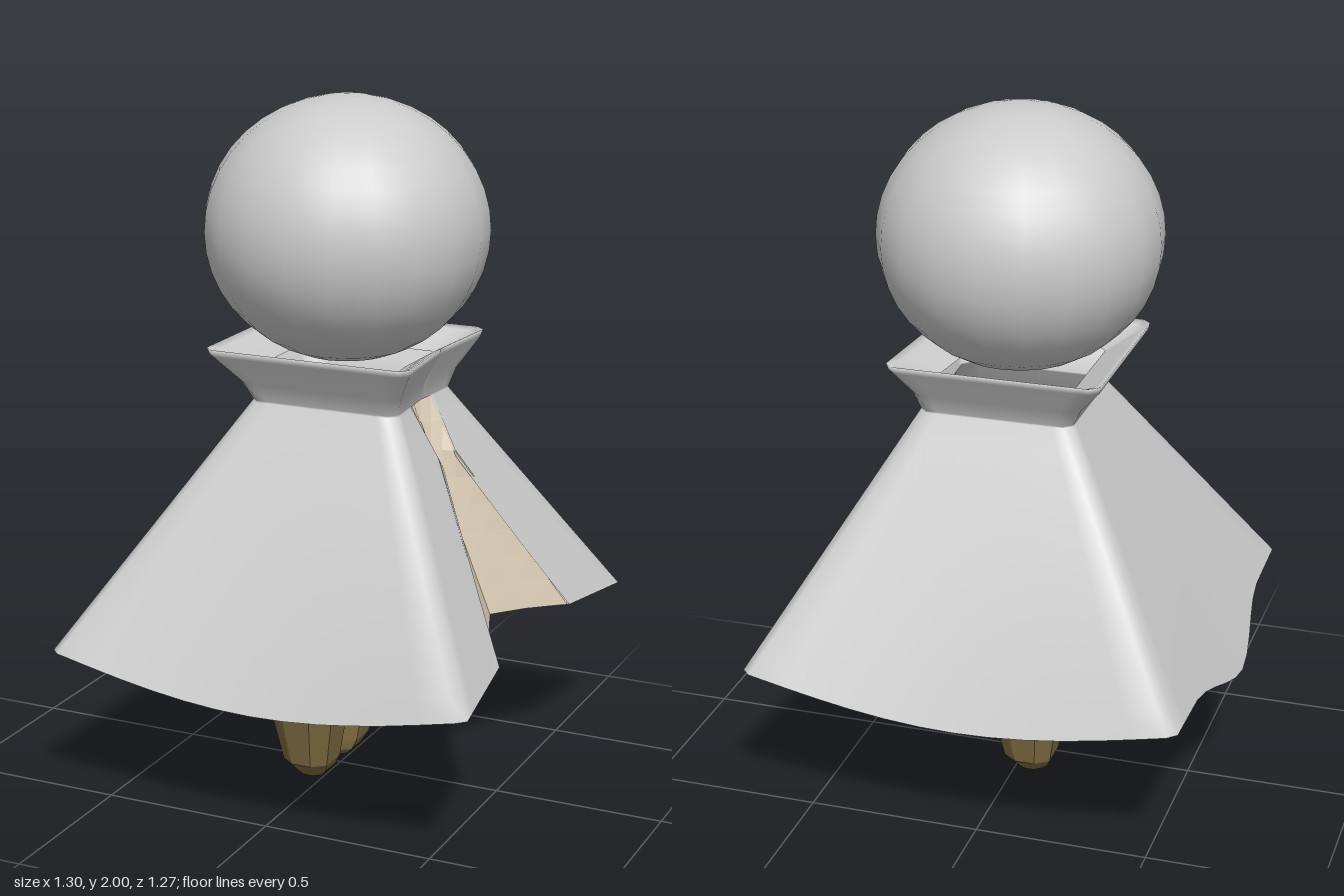
import * as THREE from 'three';

const lerp = THREE.MathUtils.lerp;

// Skin a list of equal-length rows of [x, y, z] points
function loft(rows) {
  const n = rows[0].length, index = [];
  for (let r = 0; r < rows.length - 1; r++) {
    for (let i = 0; i < n - 1; i++) {
      const a = r * n + i, b = a + 1, c = a + n, d = c + 1;
      index.push(a, b, c, b, d, c);
    }
  }
  const g = new THREE.BufferGeometry();
  g.setAttribute('position', new THREE.Float32BufferAttribute(rows.flat(2), 3));
  g.setIndex(index);
  g.computeVertexNormals();
  return g;
}

function part(name, geometry, color = 0xcccccc, flatShading = false) {
  const material = new THREE.MeshStandardMaterial({ color, flatShading, side: THREE.DoubleSide });
  const mesh = new THREE.Mesh(geometry, material);
  mesh.name = name;
  return mesh;
}

// Square cape outline: from the left front edge round the back to the right one.
// x0 back, x1 front, h half width, xf and w front opening edge, t = 0 neck .. 1 hem
function capeRow({ y, x0, x1, h, xf, w, t = 0 }) {
  const b = 0.025, half = [];
  const side = (ax, az, bx, bz, n, drop) => {
    for (let i = 0; i <= n; i++) {
      const u = i / n, [dx, dy] = drop(u);
      half.push([lerp(ax, bx, u) + dx * t * t, y + dy * t * t, lerp(az, bz, u)]);
    }
  };
  // front flap, side with a sagging hem, then the bulging back
  side(xf, w, x1, h - b, 6, (u) => [0, 0.03 * (1 - u)]);
  side(x1 - b, h, x0 + b, h, 12, (u) => [0, -0.085 * Math.sin(Math.PI * u)]);
  side(x0, h - b, x0, 0, 8, (u) => {
    const s = THREE.MathUtils.smoothstep(u, 0.35, 1);
    return [-0.045 * s, -0.03 * u - 0.075 * s];
  });
  const mirrored = half.slice(0, -1).reverse().map(([x, yy, z]) => [x, yy, -z]);
  return [...half, ...mirrored];
}

// Half width of the front opening down the cape
function opening(t) {
  if (t < 0.25) return lerp(0.07, 0.05, t / 0.25);
  return lerp(0.05, 0.28, (t - 0.25) / 0.75);
}
const edgeX = (t) => lerp(0.25, 0.61, t);

export function createModel() {
  const model = new THREE.Group();

  // Head
  const head = part('head', new THREE.SphereGeometry(1, 20, 20));
  head.scale.set(0.405, 0.375, 0.405);
  head.position.set(0.02, 1.625, 0);
  model.add(head);

  // Flared collar with its inner funnel
  const collar = [
    { y: 1.24, x0: -0.18, x1: 0.22, h: 0.2, xf: 0.2, w: 0 },
    { y: 1.295, x0: -0.27, x1: 0.31, h: 0.27, xf: 0.29, w: 0 },
    { y: 1.305, x0: -0.29, x1: 0.33, h: 0.29, xf: 0.31, w: 0 },
    { y: 1.285, x0: -0.285, x1: 0.325, h: 0.285, xf: 0.305, w: 0 },
    { y: 1.2, x0: -0.215, x1: 0.275, h: 0.225, xf: 0.26, w: 0 },
    { y: 1.15, x0: -0.19, x1: 0.26, h: 0.205, xf: 0.25, w: 0 },
  ];
  // Cape widening down to the hem
  const cape = [];
  for (let i = 0; i <= 12; i++) {
    const t = i / 12;
    cape.push({
      y: lerp(1.145, 0.47, t), x0: lerp(-0.19, -0.61, t), x1: lerp(0.26, 0.65, t),
      h: lerp(0.205, 0.635, t), xf: edgeX(t), w: opening(t), t,
    });
  }
  const rows = [...collar, ...cape].map(capeRow);
  model.add(part('cape', loft(rows)));

  // Domed underside from the hem inwards, closed across the front
  const hem = [...rows[rows.length - 1]];
  hem.push([0.52, 0.52, -0.14], [0.47, 0.54, 0], [0.52, 0.52, 0.14], hem[0]);
  const dome = [];
  for (let i = 0; i <= 8; i++) {
    const s = i / 8;
    dome.push(hem.map(([x, y, z]) => [lerp(x, 0, s), lerp(y, 0.65, s ** 1.6), lerp(z, 0, s)]));
  }
  model.add(part('capeUnderside', loft(dome)));

  // Folded robe front showing in the opening
  const robe = [];
  for (let i = 0; i <= 8; i++) {
    const t = i / 8, w = opening(t) + 0.012 * (1 - t), row = [];
    for (const u of [1, 0.5, 0, -0.5, -1]) {
      const a = Math.abs(u);
      const x = lerp(lerp(0.22, 0.47, t), edgeX(t) - 0.006, a ** 1.3);
      row.push([x, lerp(1.16, 0.54 - 0.04 * a, t), u * w]);
    }
    robe.push(row);
  }
  model.add(part('robe', loft(robe), 0xd8cbb5, true));

  // Tapered legs with chamfered corners; columns are y, x0, x1, inner z, outer z
  const legRows = [
    [0.64, -0.22, 0.13, 0.0, 0.32],
    [0.05, -0.115, 0.025, 0.03, 0.18],
    [0.02, -0.1, 0.01, 0.035, 0.15],
    [0, -0.08, -0.01, 0.05, 0.13],
  ].map(([y, x0, x1, z0, z1]) => {
    const cx = (x1 - x0) * 0.28, cz = (z1 - z0) * 0.2;
    const p = [[x0 + cx, z0], [x0, z0 + cz], [x0, z1 - cz], [x0 + cx, z1],
      [x1 - cx, z1], [x1, z1 - cz], [x1, z0 + cz], [x1 - cx, z0]];
    return [...p, p[0]].map(([x, z]) => [x, y, z]);
  });
  // close both ends
  const cap = (row, z) => row.map(() => [-0.045, row[0][1], z]);
  const leg = [cap(legRows[0], 0.15), ...legRows, cap(legRows[3], 0.09)];
  for (const [name, s] of [['leftLeg', 1], ['rightLeg', -1]]) {
    const sided = leg.map((row) => row.map(([x, y, z]) => [x, y, s * z]));
    if (s > 0) sided.forEach((row) => row.reverse());
    model.add(part(name, loft(sided), 0x7f6c42, true));
  }

  return model;
}
